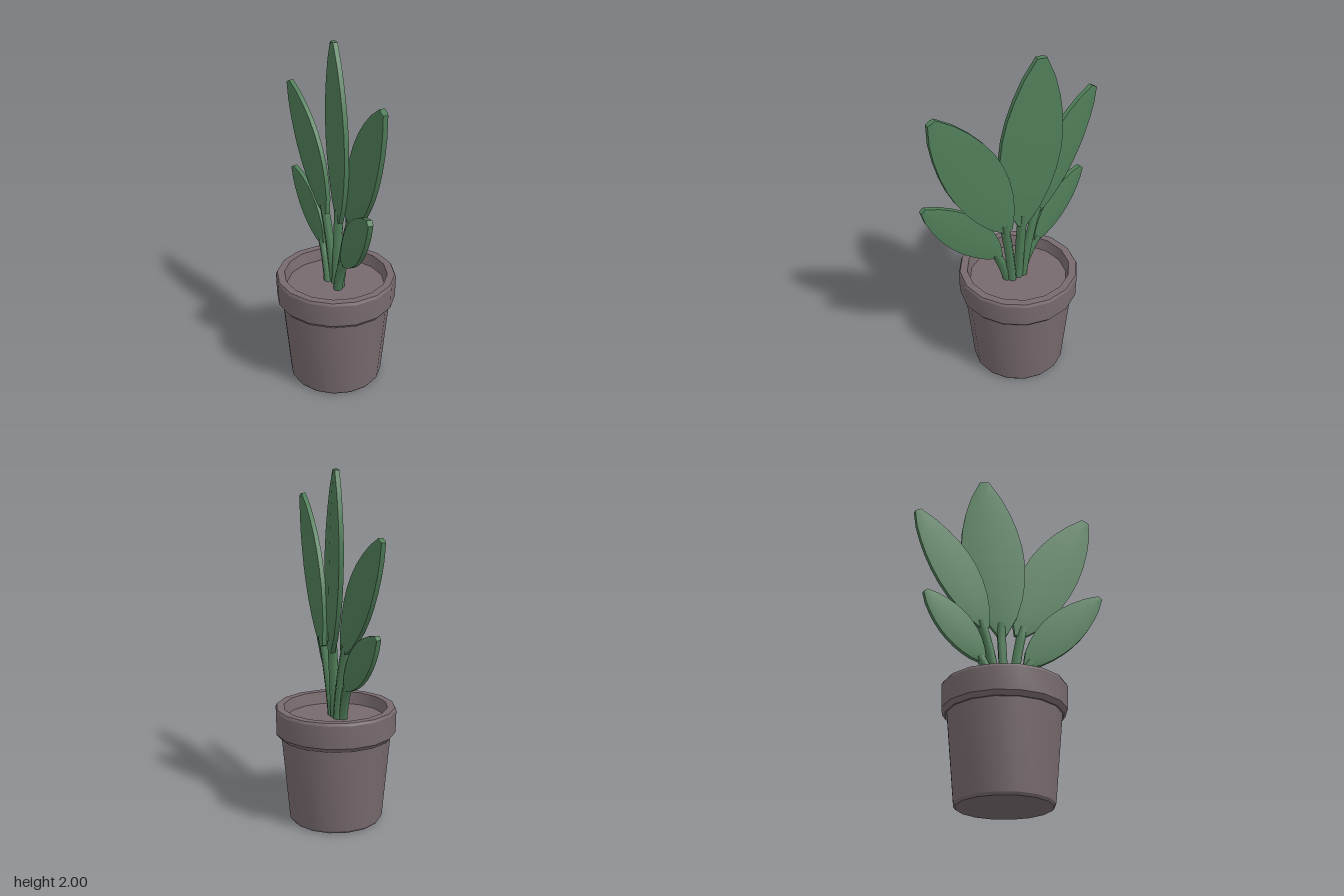
import * as THREE from 'three';
import { toCreasedNormals } from 'three/addons/utils/BufferGeometryUtils.js';

const potMat = new THREE.MeshStandardMaterial({ color: 0x776a6e });
potMat.name = 'clay';
const leafMat = new THREE.MeshStandardMaterial({ color: 0x4f7d58 });
leafMat.name = 'leaf green';

function part(name, geometry, material, crease) {
  const mesh = new THREE.Mesh(toCreasedNormals(geometry, crease), material);
  mesh.name = name;
  return mesh;
}

function lathe(...points) {
  return new THREE.LatheGeometry(points.map(([r, y]) => new THREE.Vector2(r, y)), 16);
}

// Closed skin over a stack of equal-sized rings
function loft(rings) {
  const n = rings[0].length, index = [];
  for (let i = 0; i < rings.length - 1; i++) {
    for (let j = 0; j < n; j++) {
      const a = i * n + j, b = i * n + (j + 1) % n;
      index.push(a, b, b + n, a, b + n, a + n);
    }
  }
  const top = (rings.length - 1) * n;
  for (let j = 1; j < n - 1; j++) {
    index.push(0, j + 1, j, top, top + j, top + j + 1);
  }
  const g = new THREE.BufferGeometry();
  g.setAttribute('position', new THREE.Float32BufferAttribute(rings.flat(2), 3));
  g.setIndex(index);
  return g;
}

// Share of the leaf's half width at even steps from base to tip
function widthAt(t) {
  return 0.15 + 0.85 * Math.pow(Math.sin(Math.PI * Math.pow(t, 0.95)), 0.8);
}

// Leaf blade: a lens-shaped section swept from base to tip on the plane z = z0 + slope * x
function blade({ base, tip, half, bend, z0, slope }) {
  const dx = tip[0] - base[0], dy = tip[1] - base[1], length = Math.hypot(dx, dy);
  const sx = dy / length, sy = -dx / length;
  const nz = 1 / Math.hypot(slope, 1), nx = -slope * nz;
  const rings = [];
  for (let i = 0; i <= 9; i++) {
    const t = i / 9, w = widthAt(t);
    const shift = bend * Math.sin(Math.PI * t);
    const at = (side, depth) => {
      const across = shift + side * half * w;
      const x = base[0] + dx * t + sx * across, y = base[1] + dy * t + sy * across;
      return [x + nx * depth, y, z0 + slope * x + nz * depth];
    };
    const mid = 0.015 + 0.011 * w;
    rings.push([at(-1, 0.013), at(0, mid), at(1, 0.013), at(1, -0.013), at(0, -mid), at(-1, -0.013)]);
  }
  return loft(rings);
}

// Curved stalk from the soil into the base of the blade
function stalk({ root, base, tip, z0, slope }) {
  const end = new THREE.Vector2(...base).lerp(new THREE.Vector2(...tip), 0.07);
  const endZ = z0 + slope * end.x;
  const curve = new THREE.QuadraticBezierCurve3(
    new THREE.Vector3(root[0], 0.58, root[1]),
    new THREE.Vector3(root[0] * 0.7 + end.x * 0.3, 0.26 + end.y * 0.55, root[1] * 0.6 + endZ * 0.4),
    new THREE.Vector3(end.x, end.y, endZ));
  return new THREE.TubeGeometry(curve, 5, 0.027, 6);
}

const leaves = [
  { name: 'centreLeaf', base: [0.01, 0.99], tip: [-0.09, 2], half: 0.168, bend: 0, z0: -0.03, slope: 0.48, root: [0.01, 0] },
  { name: 'tallLeftLeaf', base: [0.11, 1], tip: [0.515, 1.83], half: 0.152, bend: -0.015, z0: -0.05, slope: 0.385, root: [0.05, 0.01] },
  { name: 'lowLeftLeaf', base: [0.12, 0.8], tip: [0.525, 1.27], half: 0.105, bend: -0.01, z0: -0.01, slope: 0.47, root: [0.06, 0.035] },
  { name: 'tallRightLeaf', base: [-0.1, 1], tip: [-0.52, 1.67], half: 0.13, bend: 0.02, z0: -0.005, slope: 0.22, root: [-0.02, -0.01] },
  { name: 'lowRightLeaf', base: [-0.115, 0.8], tip: [-0.465, 1.16], half: 0.098, bend: 0.01, z0: 0, slope: 0.2, root: [-0.04, 0.015] },
];

export function createModel() {
  const model = new THREE.Group();
  model.name = 'pottedPlant';

  // Pot: tapered body, thick rim and the sunken soil
  const pot = new THREE.Group();
  pot.name = 'pot';
  pot.position.x = 0.008;
  pot.add(
    part('potBody', lathe([0, 0], [0.26, 0], [0.271, 0.015], [0.318, 0.52]), potMat, 0.5),
    part('potRim', lathe([0.3, 0.5], [0.325, 0.5], [0.345, 0.525], [0.348, 0.655], [0.34, 0.67],
      [0.298, 0.67], [0.28, 0.58]), potMat, 0.5),
    part('soil', lathe([0.29, 0.6], [0, 0.605]), potMat, 0.5),
  );
  model.add(pot);

  // Leaves, each a blade on its own stalk
  for (const leaf of leaves) {
    const group = new THREE.Group();
    group.name = leaf.name;
    group.add(
      part('blade', blade(leaf), leafMat, 0.7),
      part('stalk', stalk(leaf), leafMat, 1.2),
    );
    model.add(group);
  }
  return model;
}
